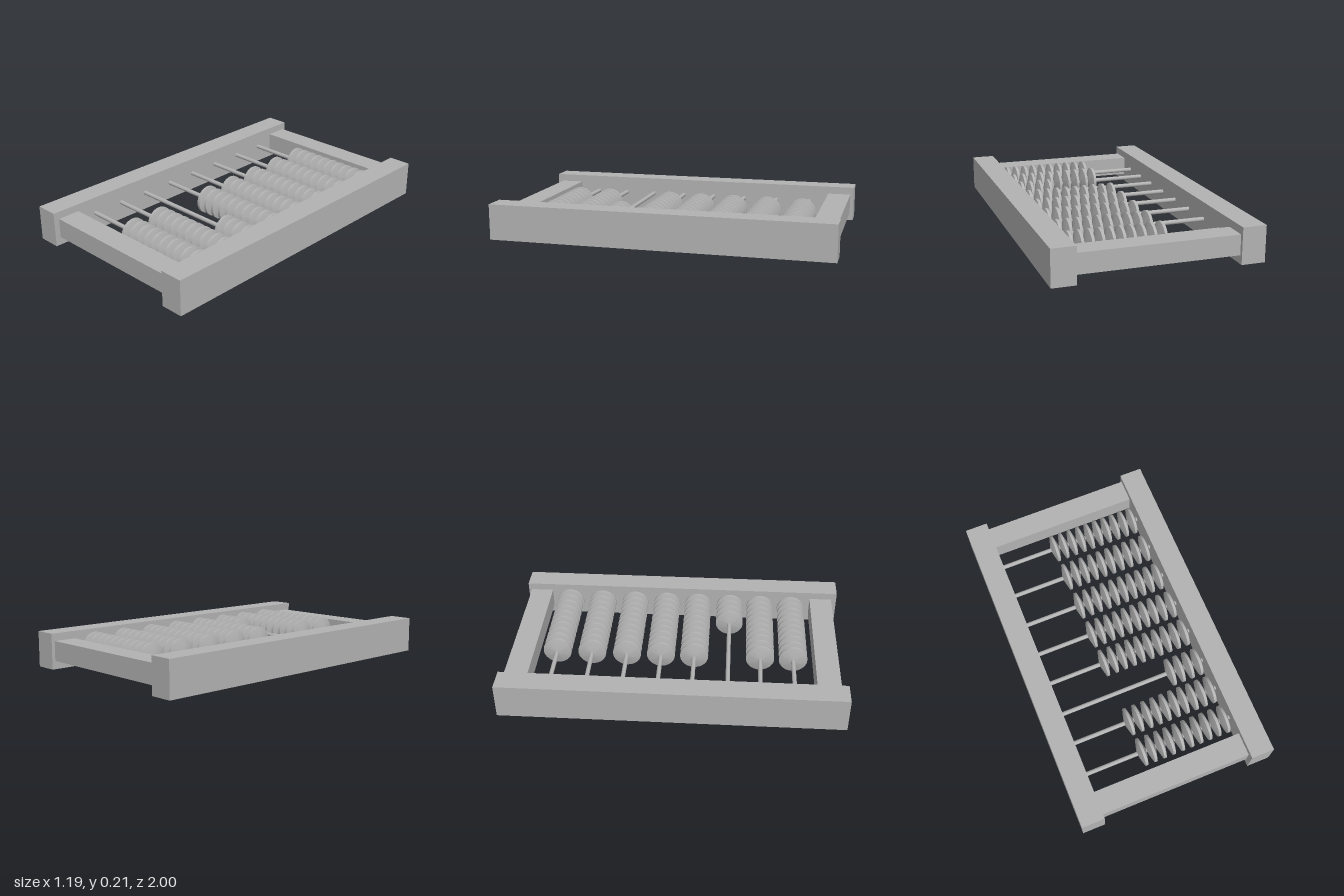
import * as THREE from 'three';
import { toCreasedNormals } from 'three/addons/utils/BufferGeometryUtils.js';

export function createModel() {
  const model = new THREE.Group();
  model.name = 'abacus';
  const grey = new THREE.MeshStandardMaterial({ color: 0xb2b2b2 });
  grey.name = 'grey';

  const add = (name, geometry, x, y, z, parent = model) => {
    const mesh = new THREE.Mesh(geometry, grey);
    mesh.name = name;
    mesh.position.set(x, y, z);
    parent.add(mesh);
    return mesh;
  };

  // Frame: two tall side rails and two thinner end bars
  const railGeometry = new THREE.BoxGeometry(0.138, 0.21, 2);
  add('leftRail', railGeometry, 0.526, 0.105, 0);
  add('rightRail', railGeometry, -0.526, 0.105, 0);
  const barGeometry = new THREE.BoxGeometry(0.93, 0.117, 0.138);
  add('frontBar', barGeometry, 0, 0.107, 0.898);
  add('backBar', barGeometry, 0, 0.107, -0.911);

  // Rod and double-cone bead with a narrow flat rim, both lying along x
  const rodGeometry = new THREE.CylinderGeometry(0.013, 0.013, 0.94, 16).rotateZ(Math.PI / 2);
  const profile = [[0.012, -0.027], [0.022, -0.026], [0.085, -0.008], [0.085, 0.008], [0.022, 0.026], [0.012, 0.027]]
    .map(([r, h]) => new THREE.Vector2(r, h));
  const beadGeometry = toCreasedNormals(new THREE.LatheGeometry(profile, 32).rotateZ(Math.PI / 2), 0.6);

  // Rows from back to front, beads pushed toward the left rail
  const rows = [[-0.72, 10], [-0.508, 10], [-0.296, 10], [-0.09, 10], [0.111, 10], [0.317, 4], [0.508, 10], [0.706, 10]];
  rows.forEach(([z, count], i) => {
    const row = new THREE.Group();
    row.name = `beadRow${i + 1}`;
    row.position.set(0, 0.11, z);
    model.add(row);
    add('rod', rodGeometry, 0, 0, 0, row);
    for (let k = 0; k < count; k++) add('bead', beadGeometry, 0.42 - k * 0.0585, 0, 0, row);
  });

  return model;
}
